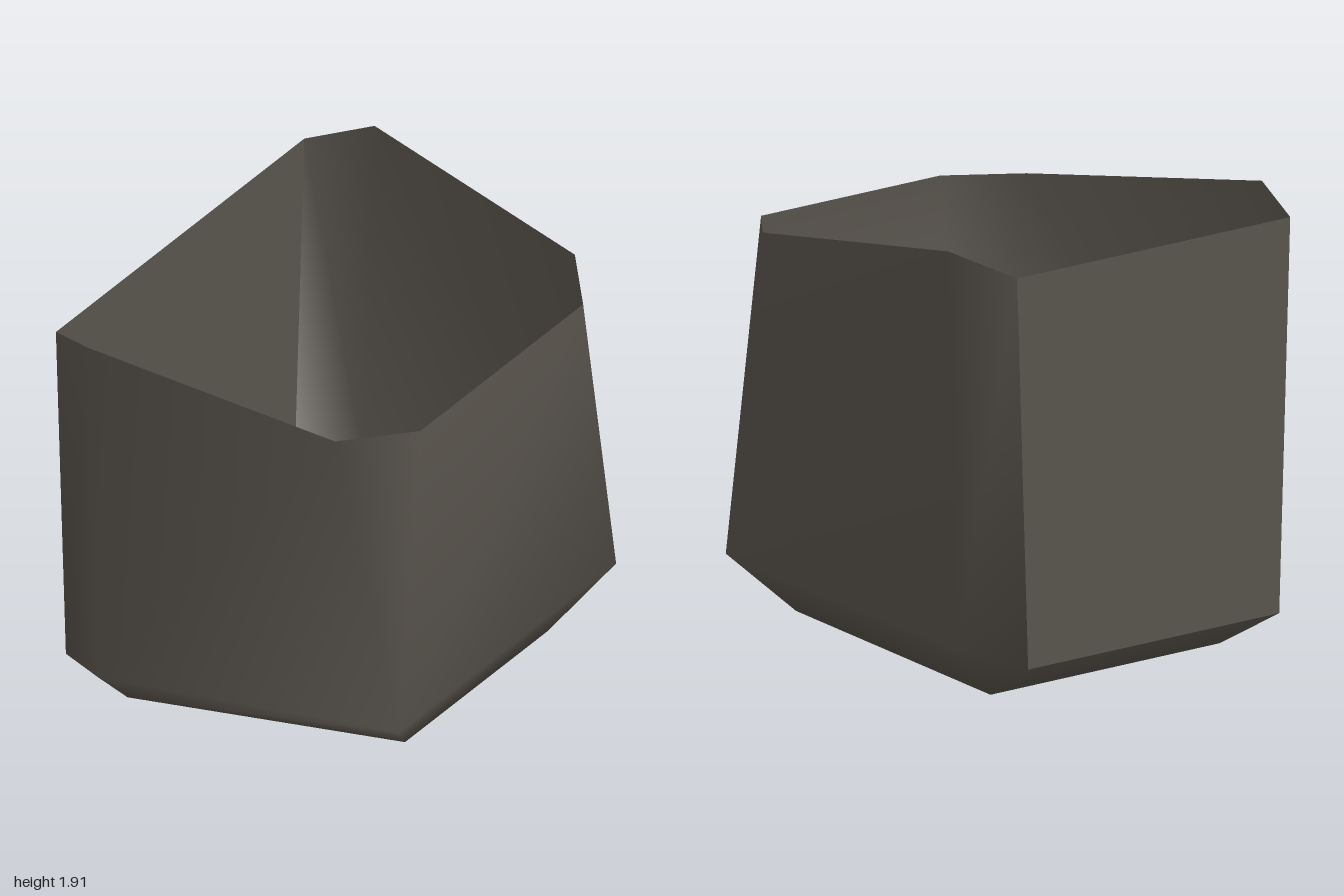
import * as THREE from 'three';

// Corner points of the +x half; the -x half is mirrored
const half = {
  rimBack: [0.87, 1.81, -0.84],
  rimSide: [1.0, 1.91, -0.575],
  rimCorner: [0.84, 1.82, 0.57],
  rimFront: [0.57, 1.82, 0.81],
  lowBack: [0.8, 0.15, -0.84],
  lowSide: [0.94, 0.22, -0.575],
  lowFront: [0.76, 0.42, 0.84],
  baseBack: [0.73, 0, -0.575],
  baseFront: [0.5, 0.16, 0.68],
};
const names = Object.keys(half);
const count = names.length;

// Faces on one side, mirrored to the other
const sideFaces = [
  ['rimSide', 'rimCorner', 'lowFront', 'lowSide'],
  ['rimBack', 'rimSide', 'lowSide', 'lowBack'],
  ['rimCorner', 'rimFront', 'lowFront'],
  ['lowSide', 'lowFront', 'baseFront', 'baseBack'],
  ['lowBack', 'lowSide', 'baseBack'],
];

// Each strip spans the middle between two mirrored pairs of points
const shellStrips = [
  ['rimFront', 'lowFront'],
  ['lowFront', 'baseFront'],
  ['baseFront', 'baseBack'],
  ['baseBack', 'lowBack'],
];
const backStrips = [['lowBack', 'rimBack']];

function panel(name, faces, strips, material) {
  const positions = [];
  for (const s of [1, -1]) {
    for (const n of names) positions.push(half[n][0] * s, half[n][1], half[n][2]);
  }
  const index = [];
  const addFace = (f) => {
    for (let i = 1; i < f.length - 1; i++) index.push(f[0], f[i], f[i + 1]);
  };
  for (const face of faces) {
    const f = face.map((n) => names.indexOf(n));
    addFace(f);
    addFace(f.map((i) => i + count).reverse());
  }
  for (const [a, b] of strips) {
    const i = names.indexOf(a);
    const j = names.indexOf(b);
    addFace([i, i + count, j + count, j]);
  }
  const geometry = new THREE.BufferGeometry();
  geometry.setAttribute('position', new THREE.Float32BufferAttribute(positions, 3));
  geometry.setIndex(index);
  geometry.computeVertexNormals();
  const mesh = new THREE.Mesh(geometry, material);
  mesh.name = name;
  return mesh;
}

export function createModel() {
  const group = new THREE.Group();
  group.name = 'openPouch';
  const material = new THREE.MeshStandardMaterial({ color: 0x58534c, side: THREE.DoubleSide });
  material.name = 'dark warm grey';

  // Smooth body with bevelled corners, open at the top
  group.add(panel('pouchShell', sideFaces, shellStrips, material));
  // Flat back with a sharp border
  group.add(panel('backPanel', [], backStrips, material));
  return group;
}
